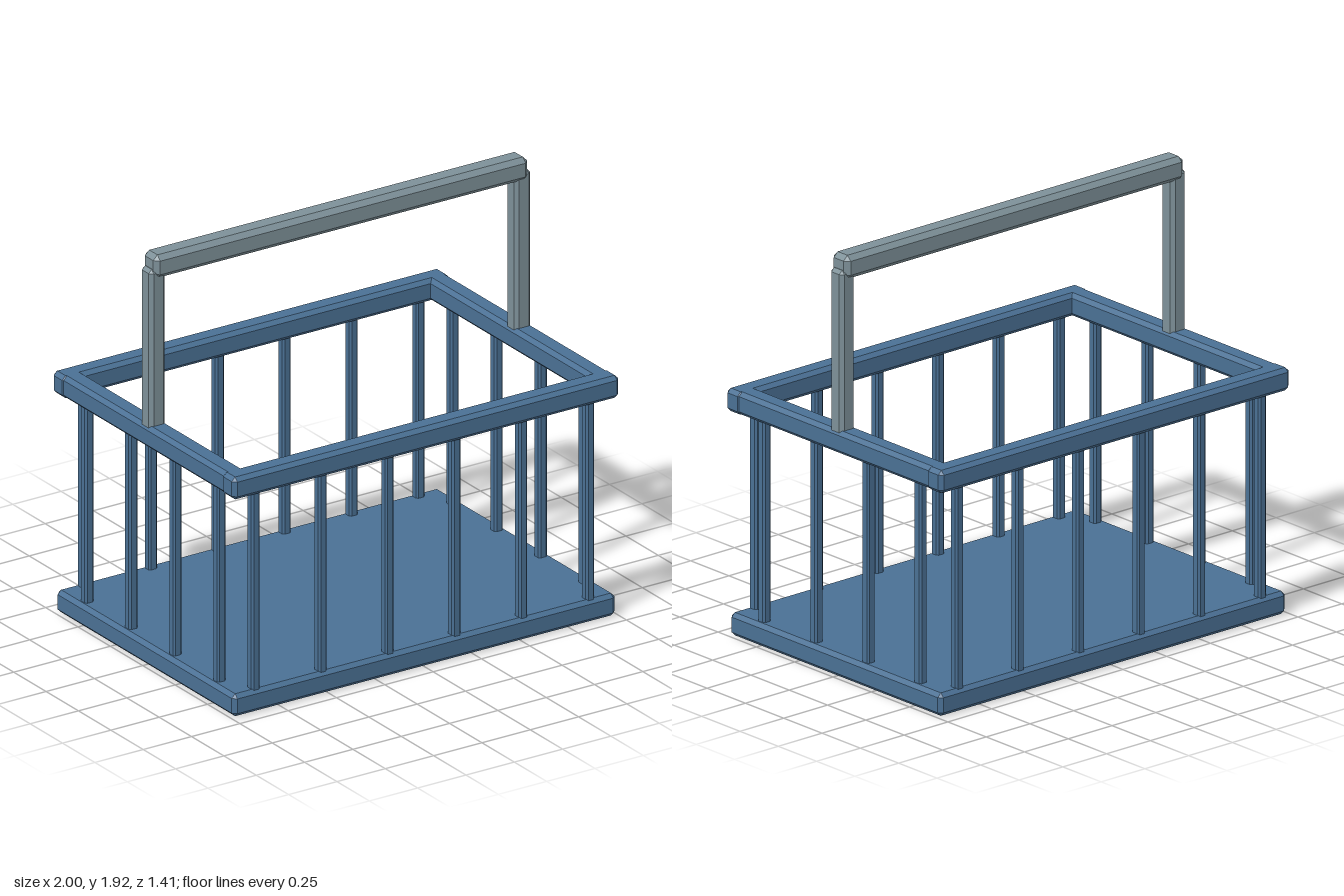
import * as THREE from 'three';
import { ConvexGeometry } from 'three/addons/geometries/ConvexGeometry.js';

const blue = new THREE.MeshStandardMaterial({ color: 0x4a7094 });
const grey = new THREE.MeshStandardMaterial({ color: 0x7d9098 });

// Box with every edge cut by a flat chamfer c
function chamferBox(w, h, d, c) {
  const points = [];
  for (const x of [-1, 1]) for (const y of [-1, 1]) for (const z of [-1, 1]) {
    for (let face = 0; face < 3; face++) {
      points.push(new THREE.Vector3(
        x * (w / 2 - (face === 0 ? 0 : c)),
        y * (h / 2 - (face === 1 ? 0 : c)),
        z * (d / 2 - (face === 2 ? 0 : c))));
    }
  }
  return new ConvexGeometry(points);
}

export function createModel() {
  const basket = new THREE.Group();
  basket.name = 'basket';

  const add = (name, geometry, material, x, y, z) => {
    const mesh = new THREE.Mesh(geometry, material);
    mesh.name = name;
    mesh.position.set(x, y, z);
    basket.add(mesh);
  };

  const sideX = 0.945, sideZ = 0.655;

  // Solid floor slab
  add('floor', chamferBox(1.98, 0.105, 1.38, 0.018), blue, 0, 0.0525, 0);

  // Rim: long rails overlap the ends of the short rails
  const longRail = chamferBox(2, 0.105, 0.1, 0.018);
  const shortRail = chamferBox(0.1, 0.105, 2 * sideZ + 0.06, 0.018);
  for (const s of [-1, 1]) {
    add(s > 0 ? 'frontRim' : 'backRim', longRail, blue, 0, 1.077, s * sideZ);
    add(s > 0 ? 'leftRim' : 'rightRim', shortRail, blue, s * sideX, 1.077, 0);
  }

  // Upright slats around the four sides
  const slat = chamferBox(0.045, 0.98, 0.045, 0.009);
  for (const s of [-1, 1]) {
    for (let i = 0; i < 6; i++) {
      add(s > 0 ? 'frontSlat' : 'backSlat', slat, blue, -0.865 + i * 0.346, 0.565, s * sideZ);
    }
    for (let i = 0; i < 4; i++) {
      add(s > 0 ? 'leftSlat' : 'rightSlat', slat, blue, s * sideX, 0.565, -0.51 + i * 0.34);
    }
  }

  // Handle: two posts and a grip
  const post = chamferBox(0.083, 0.78, 0.083, 0.016);
  for (const s of [-1, 1]) {
    add(s > 0 ? 'leftHandlePost' : 'rightHandlePost', post, grey, s * sideX, 1.47, 0);
  }
  add('handleGrip', chamferBox(1.935, 0.108, 0.108, 0.022), grey, 0, 1.871, 0);

  return basket;
}
